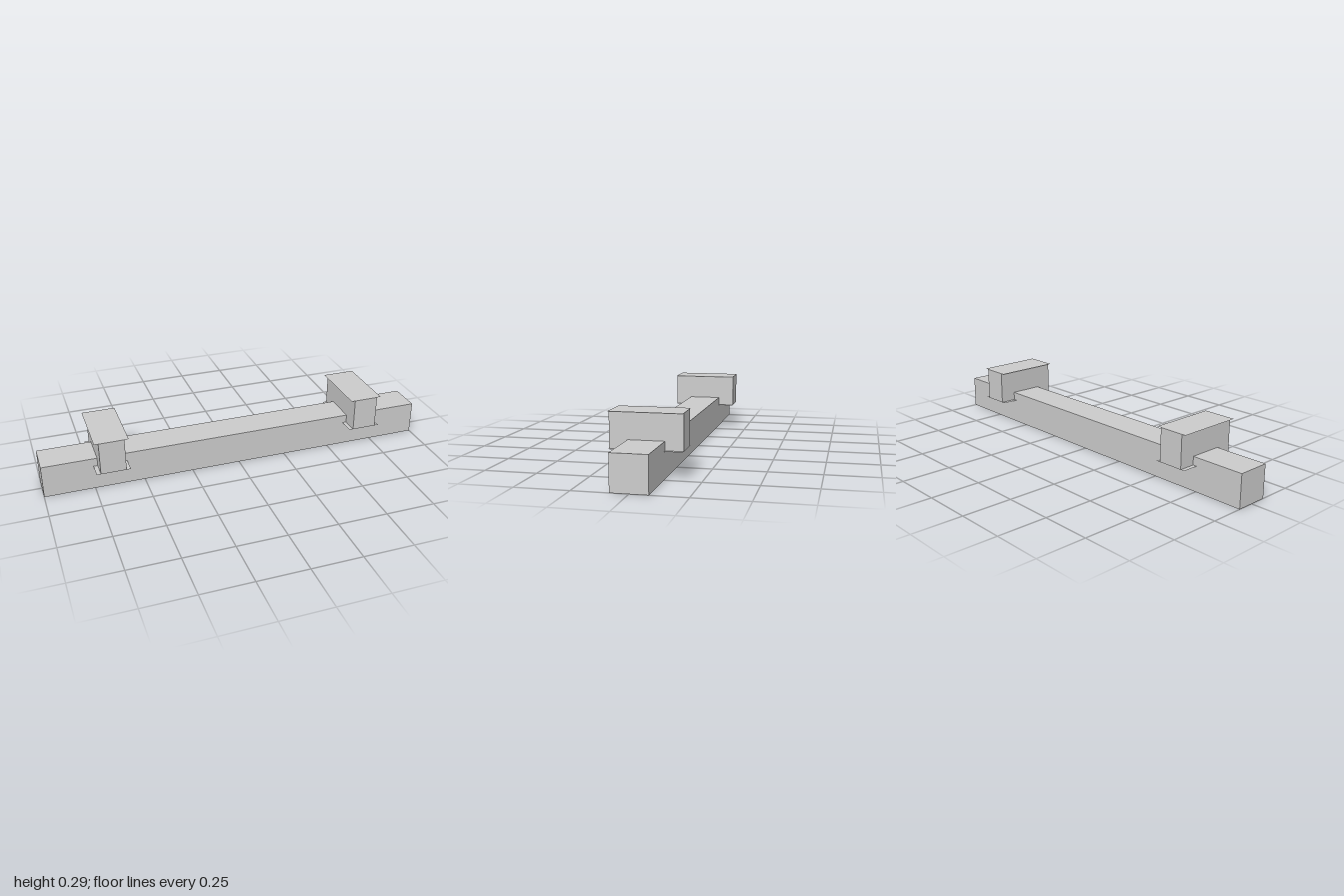
import * as THREE from 'three';

export function createModel() {
  const model = new THREE.Group();
  const grey = new THREE.MeshStandardMaterial({ color: 0xcccccc, flatShading: true });
  const thin = new THREE.MeshStandardMaterial({ color: 0xcccccc, flatShading: true, side: THREE.DoubleSide });

  const U = 1 / 24; // grid unit
  const add = (parent, name, geometry, material, x, y, z) => {
    const mesh = new THREE.Mesh(geometry, material);
    mesh.name = name;
    mesh.position.set(x, y, z);
    parent.add(mesh);
    return mesh;
  };

  // Long square beam
  add(model, 'beam', new THREE.BoxGeometry(48 * U, 4 * U, 4 * U), grey, 0, 2 * U, 0);

  // A clamp near each end: four walls between two wider thin plates
  for (const side of [-1, 1]) {
    const clamp = new THREE.Group();
    clamp.name = side > 0 ? 'leftClamp' : 'rightClamp';
    clamp.position.set(side * 16 * U, 5 * U, 0);
    model.add(clamp);

    for (const s of [-1, 1]) {
      const endWall = add(clamp, s > 0 ? 'frontWall' : 'backWall',
        new THREE.PlaneGeometry(3 * U, 4 * U), thin, 0, 0, s * 4 * U);
      if (s < 0) endWall.rotation.y = Math.PI;

      const sideWall = add(clamp, s > 0 ? 'leftWall' : 'rightWall',
        new THREE.PlaneGeometry(8 * U, 4 * U), thin, s * 1.5 * U, 0, 0);
      sideWall.rotation.y = s * Math.PI / 2;

      const plate = add(clamp, s > 0 ? 'topPlate' : 'bottomPlate',
        new THREE.PlaneGeometry(4 * U, 8 * U), thin, 0, s * 2 * U, 0);
      plate.rotation.x = -s * Math.PI / 2;
    }
  }
  return model;
}
